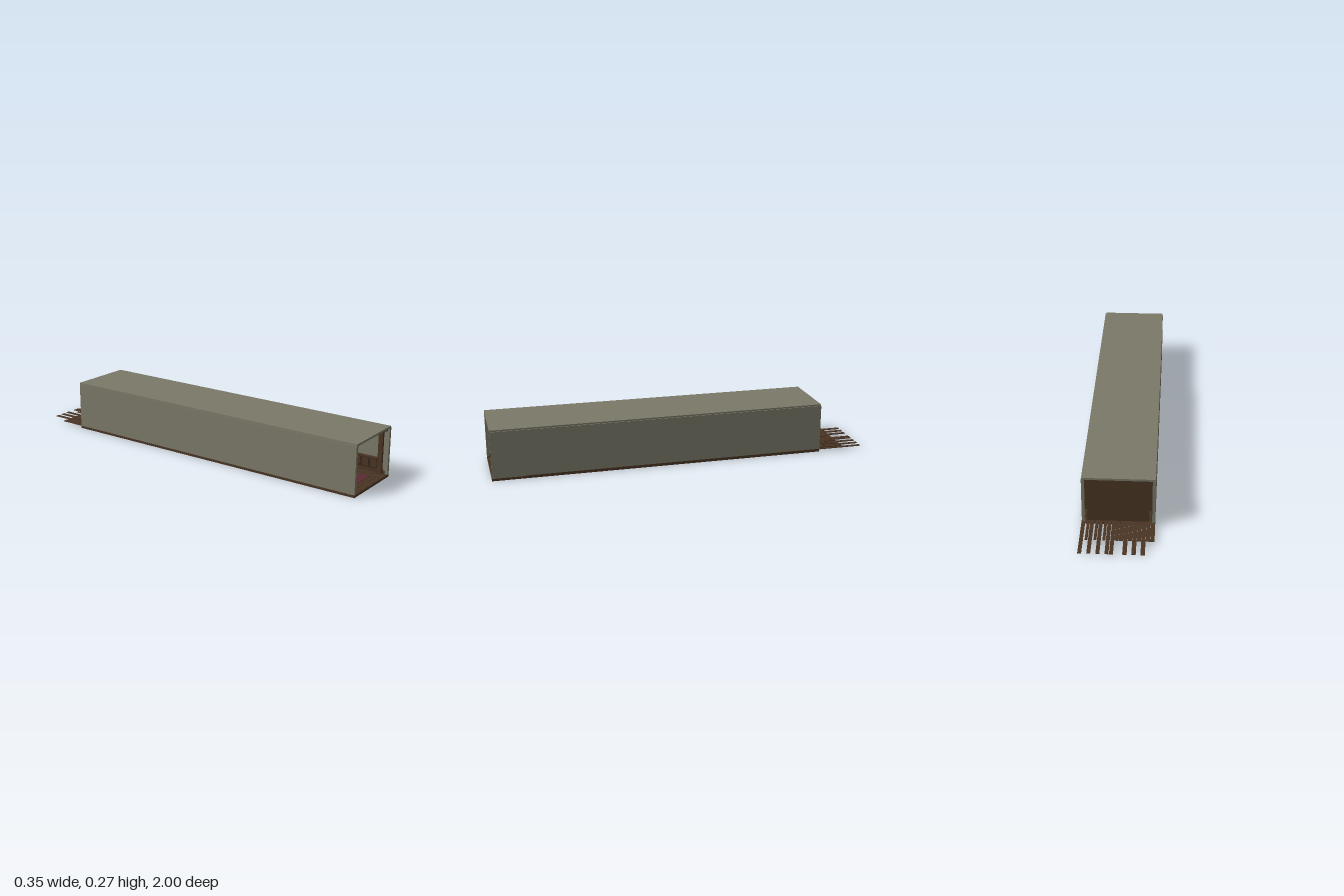
import * as THREE from 'three';

const mat = (name, color) => Object.assign(new THREE.MeshStandardMaterial({ color }), { name });

export function createModel() {
  const M = {
    plaster: mat('greyPlaster', 0x7a7968),
    wood: mat('darkWood', 0x4a3523),
    trim: mat('deepWood', 0x37261a),
    red: mat('wineRed', 0x5c2a31),
    brass: mat('brass', 0x8b7747),
    shade: mat('creamShade', 0xb89b65),
    vase: mat('vaseClay', 0x9b7b50),
    leaf: mat('darkLeaf', 0x29251d),
  };
  M.shade.side = M.leaf.side = THREE.DoubleSide;
  const root = new THREE.Group();
  root.name = 'hallway';

  const add = (parent, name, geo, m, x = 0, y = 0, z = 0) => {
    const mesh = new THREE.Mesh(geo, m);
    mesh.name = name;
    mesh.position.set(x, y, z);
    parent.add(mesh);
    return mesh;
  };
  // Box given by its minimum and maximum corners
  const box = (name, m, x0, x1, y0, y1, z0, z1, parent = root) =>
    add(parent, name, new THREE.BoxGeometry(x1 - x0, y1 - y0, z1 - z0), m,
      (x0 + x1) / 2, (y0 + y1) / 2, (z0 + z1) / 2);
  const tube = (parent, name, m, pts, r) => add(parent, name, new THREE.TubeGeometry(
    new THREE.CatmullRomCurve3(pts.map(p => new THREE.Vector3(...p))), 14, r, 6), m);
  const lathe = (parent, name, m, pts, x, y, z) => add(parent, name,
    new THREE.LatheGeometry(pts.map(p => new THREE.Vector2(...p)), 16), m, x, y, z);

  // Shell
  box('floorSlab', M.wood, -0.18, 0.172, 0, 0.013, -0.76, 1);
  box('leftWall', M.plaster, 0.158, 0.173, 0.013, 0.26, -0.76, 1);
  box('rightWall', M.plaster, -0.18, -0.165, 0.013, 0.26, -0.76, 1);
  box('ceiling', M.plaster, -0.177, 0.168, 0.257, 0.268, -0.76, 1);
  box('endWall', M.wood, -0.165, 0.158, 0.013, 0.257, -0.752, -0.735);

  // Floorboards with staggered ends running out past the end wall
  for (let i = 0; i < 17; i++) {
    const x = -0.18 + i * 0.021;
    const long = i === 9 || (i % 2 === 0 && i !== 0 && i !== 8);
    const width = i < 9 ? 0.0204 : long ? 0.018 : 0.013;
    box('floorboard', M.wood, x, x + width, 0.0125, 0.0155,
      long ? -1 : -0.9, i === 16 ? 0.83 : 0.995 - (i % 3) * 0.03);
  }

  // Carpet runner
  box('carpetRunner', M.red, -0.085, 0.085, 0.0155, 0.0175, -0.73, 0.94);

  // A panelled door facing +z, standing on its own origin
  const makeDoor = () => {
    const g = new THREE.Group();
    g.name = 'door';
    box('doorLeaf', M.red, -0.059, 0.059, 0, 0.203, 0, 0.006, g);
    for (const [y0, y1] of [[0.026, 0.095], [0.095, 0.181]]) {
      for (const y of [y0, y1]) box('doorMoulding', M.brass, -0.052, 0.052, y - 0.0015, y + 0.0015, 0.006, 0.009, g);
      for (const x of [-0.052, 0.052]) box('doorMoulding', M.brass, x - 0.0015, x + 0.0015, y0, y1, 0.006, 0.009, g);
    }
    for (const x of [-0.07, 0.064]) box('doorJamb', M.wood, x - 0.005, x + 0.005, 0, 0.216, 0, 0.012, g);
    add(g, 'doorKnob', new THREE.SphereGeometry(0.004, 10, 8), M.brass, 0.04, 0.082, 0.012);
    return g;
  };
  const endDoor = makeDoor();
  endDoor.position.set(-0.004, 0.0155, -0.735);
  root.add(endDoor);

  // Side panelling, mirrored; local x runs inward from the wall
  for (const s of [-1, 1]) {
    const wallX = s < 0 ? -0.165 : 0.158;
    const side = (name, m, d0, d1, y0, y1, z0, z1) => {
      const a = wallX - s * d0, b = wallX - s * d1;
      return box(name, m, Math.min(a, b), Math.max(a, b), y0, y1, z0, z1);
    };
    side('skirting', M.wood, 0, 0.009, 0.0155, 0.032, -0.735, 0.985);
    side('cornice', M.wood, 0, 0.014, 0.242, 0.257, -0.735, 0.99);
    side('corniceStep', M.trim, 0, 0.02, 0.25, 0.256, -0.735, 0.985);
    const doors = s < 0 ? [0.2, -0.4] : [0.5, -0.1];
    for (let k = 0; k < 9; k++) {
      const z = 0.96 - k * 0.21;
      side('pilaster', M.wood, 0, 0.013, 0.0155, 0.242, z - 0.012, z + 0.012);
      side('pilasterBase', M.wood, 0, 0.018, 0.0155, 0.04, z - 0.015, z + 0.015);
      side('pilasterCapital', M.wood, 0, 0.02, 0.233, 0.242, z - 0.016, z + 0.016);
      if (k === 8) break;
      const far = z - 0.198, near = z - 0.012, mid = (far + near) / 2;
      if (doors.some(d => Math.abs(d - mid) < 0.105)) {
        const door = makeDoor();
        door.position.set(wallX, 0.0155, mid);
        door.rotation.y = -s * Math.PI / 2;
        root.add(door);
        continue;
      }
      // Wainscot with raised framing under a chair rail
      side('wainscot', M.trim, 0, 0.004, 0.0155, 0.09, far, near);
      side('chairRail', M.wood, 0, 0.016, 0.088, 0.096, far, near);
      for (let j = 0; j < 4; j++) {
        const c = far + 0.186 * (j + 0.5) / 4;
        side('wainscotPanel', M.wood, 0.004, 0.008, 0.04, 0.08, c - 0.017, c + 0.017);
      }
    }
    // Rail ends passing through the end wall
    for (const y of [0.04, 0.08]) side('railEnd', M.wood, 0.003, 0.013, y - 0.0015, y + 0.0015, -0.81, -0.73);
    side('railPost', M.wood, 0.003, 0.013, 0.04, 0.08, -0.765, -0.755);
  }

  // Ceiling beams
  for (let k = 0; k < 9; k++) {
    const z = 0.96 - k * 0.21;
    box('ceilingBeam', M.wood, -0.155, 0.148, 0.244, 0.257, z - 0.012, z + 0.012);
    box('beamMoulding', M.brass, -0.147, 0.14, 0.246, 0.2485, z + 0.012, z + 0.014);
  }

  // Wall sconces, mirrored in pairs along the hall
  for (const s of [-1, 1]) for (const z of [0.645, 0.015, -0.615]) {
    const g = new THREE.Group();
    g.name = 'sconce';
    const wx = s < 0 ? -0.165 : 0.158, lx = s < 0 ? -0.13 : 0.122;
    const plate = add(g, 'sconcePlate', new THREE.CylinderGeometry(0.01, 0.01, 0.005, 14), M.brass, wx - s * 0.003, 0.165, z);
    plate.rotation.z = Math.PI / 2;
    tube(g, 'sconceArm', M.brass, [[wx, 0.165, z], [(wx + lx) / 2 + s * 0.008, 0.151, z],
      [(wx + lx) / 2 - s * 0.004, 0.15, z], [lx, 0.158, z], [lx, 0.172, z]], 0.002);
    lathe(g, 'lampshade', M.shade, [[0.015, 0], [0.013, 0.009], [0.009, 0.026]], lx, 0.172, z);
    root.add(g);
  }

  // Console table with curved legs
  const table = new THREE.Group();
  table.name = 'consoleTable';
  box('tableTop', M.wood, 0.113, 0.157, 0.082, 0.088, -0.58, -0.46, table);
  box('tableApron', M.trim, 0.12, 0.156, 0.071, 0.082, -0.57, -0.47, table);
  for (const z of [-0.568, -0.472]) for (const x of [0.125, 0.151])
    tube(table, 'tableLeg', M.wood, [[x, 0.075, z], [x + 0.005, 0.06, z], [x + 0.003, 0.035, z], [x - 0.005, 0.0155, z]], 0.003);
  root.add(table);

  // Vase and plant on the table
  lathe(root, 'vase', M.vase, [[0, 0], [0.008, 0], [0.013, 0.01], [0.009, 0.018], [0.01, 0.022], [0, 0.02]], 0.121, 0.088, -0.52);
  const leafShape = new THREE.Shape();
  leafShape.moveTo(0, 0);
  leafShape.quadraticCurveTo(0.007, 0.014, 0, 0.03);
  leafShape.quadraticCurveTo(-0.007, 0.014, 0, 0);
  for (let i = 0; i < 9; i++) {
    const leaf = add(root, 'plantLeaf', new THREE.ShapeGeometry(leafShape, 5), M.leaf, 0.121, 0.108, -0.52);
    leaf.rotation.order = 'YXZ';
    leaf.rotation.set(0.25 + (i % 3) * 0.25, i * 2.4, 0);
  }

  // Newel post with a ball finial
  box('newelPost', M.wood, 0.098, 0.111, 0.0155, 0.094, -0.63, -0.617);
  add(root, 'newelBall', new THREE.SphereGeometry(0.008, 14, 10), M.wood, 0.1045, 0.1, -0.6235);

  return root;
}
